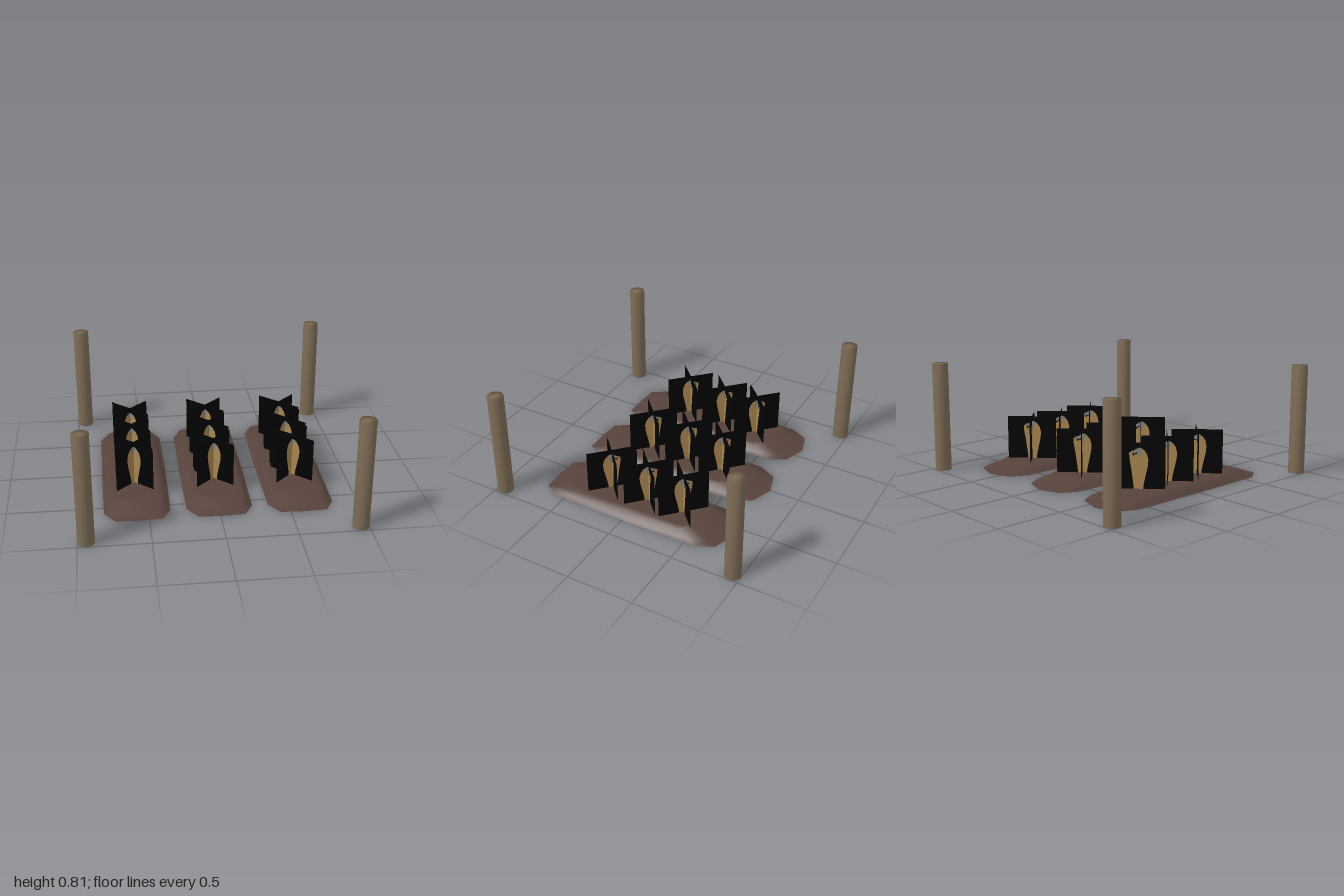
import * as THREE from 'three';
import { mergeVertices } from 'three/addons/utils/BufferGeometryUtils.js';

const material = (name, color, side = THREE.FrontSide) =>
  Object.assign(new THREE.MeshStandardMaterial({ color, side }), { name });

// Weld corners so the shading runs smoothly over every edge
function smooth(geometry) {
  geometry.deleteAttribute('uv');
  geometry.deleteAttribute('normal');
  const welded = mergeVertices(geometry, 1e-4);
  welded.computeVertexNormals();
  return welded;
}

// Hollow soil bed: one outline scaled inwards into rings, open underneath
function moundGeometry() {
  const outline = [
    [0, 0.7], [0.175, 0.692], [0.237, 0.58], [0.245, 0], [0.237, -0.59], [0.172, -0.71],
    [0, -0.77], [-0.163, -0.72], [-0.232, -0.59], [-0.238, 0], [-0.232, 0.58], [-0.155, 0.692],
  ];
  const rings = [[1, 1, 0.001], [0.9, 0.87, 0.017], [0.79, 0.75, 0.052], [0.6, 0.68, 0.052]];
  const n = outline.length;
  const positions = [];
  const index = [];
  for (const [sx, sz, y] of rings)
    for (const [x, z] of outline) positions.push(x * sx, y, z * sz);
  positions.push(0, 0.052, 0);
  const centre = rings.length * n;
  for (let r = 0; r < rings.length; r++) {
    for (let i = 0; i < n; i++) {
      const a = r * n + i;
      const b = r * n + (i + 1) % n;
      if (r === rings.length - 1) index.push(a, b, centre);
      else index.push(a, b, b + n, a, b + n, a + n);
    }
  }
  const geometry = new THREE.BufferGeometry();
  geometry.setAttribute('position', new THREE.Float32BufferAttribute(positions, 3));
  geometry.setIndex(index);
  geometry.computeVertexNormals();
  return geometry;
}

const flat = (points) =>
  new THREE.ShapeGeometry(new THREE.Shape(points.map(([x, y]) => new THREE.Vector2(x, y))));

export function createModel() {
  const model = new THREE.Group();
  model.name = 'plantedGarden';

  const wood = material('post wood', 0x7d6c55);
  const soil = material('soil brown', 0x56423b, THREE.DoubleSide);
  const black = material('card black', 0x020202, THREE.DoubleSide);
  const gold = material('leaf gold', 0xa8864e, THREE.DoubleSide);
  const grey = material('leaf tip grey', 0x85807a, THREE.DoubleSide);

  const add = (parent, name, geometry, mat, x = 0, y = 0, z = 0) => {
    const mesh = new THREE.Mesh(geometry, mat);
    mesh.name = name;
    mesh.position.set(x, y, z);
    parent.add(mesh);
    return mesh;
  };

  // Corner posts
  const post = smooth(new THREE.CylinderGeometry(0.059, 0.059, 0.811, 20));
  for (const x of [-0.941, 0.941])
    for (const z of [-0.941, 0.941]) add(model, 'post', post, wood, x, 0.4055, z);

  // Cards with a painted plant: smooth leaf edge at +x, ragged one at -x
  const bottom = 0.02;
  const top = 0.38;
  const card = new THREE.PlaneGeometry(0.37, top - bottom);
  const painted = [
    ['leaf', gold, 0.002, flat([
      [-0.028, bottom], [0.03, bottom], [0.036, 0.08], [0.048, 0.14], [0.064, 0.21],
      [0.068, 0.26], [0.058, 0.3], [0.036, 0.33], [0.012, 0.335], [0, 0.3], [-0.02, 0.3],
      [-0.034, 0.285], [-0.048, 0.315], [-0.064, 0.31], [-0.062, 0.27], [-0.05, 0.2],
      [-0.038, 0.11],
    ])],
    ['leafTip', grey, 0.004, flat([
      [0.004, 0.27], [0.014, 0.285], [0.022, 0.32], [0.03, 0.335], [0.012, 0.345],
      [-0.01, 0.338], [-0.03, 0.325], [-0.052, 0.32], [-0.034, 0.3], [-0.012, 0.31],
    ])],
  ];

  // Two cards crossing diagonally, ragged halves to the back
  function plant(x, z) {
    const group = new THREE.Group();
    group.name = 'plant';
    group.position.set(x, 0, z);
    for (const turn of [-0.766, 0.766 - Math.PI]) {
      const side = new THREE.Group();
      side.name = 'plantCard';
      side.rotation.y = turn;
      add(side, 'cardBacking', card, black, 0, (top + bottom) / 2, 0);
      // Paint both faces of the card
      for (const face of [-1, 1])
        for (const [name, mat, lift, geometry] of painted)
          add(side, name, geometry, mat, 0, 0, face * lift);
      group.add(side);
    }
    return group;
  }

  // Three soil beds, each with a row of three plants
  const mound = moundGeometry();
  for (const x of [-0.584, 0, 0.584]) {
    const bed = new THREE.Group();
    bed.name = 'bed';
    add(bed, 'soilMound', mound, soil, x, 0, 0);
    for (const z of [0.228, -0.08, -0.365]) bed.add(plant(x, z));
    model.add(bed);
  }
  return model;
}
